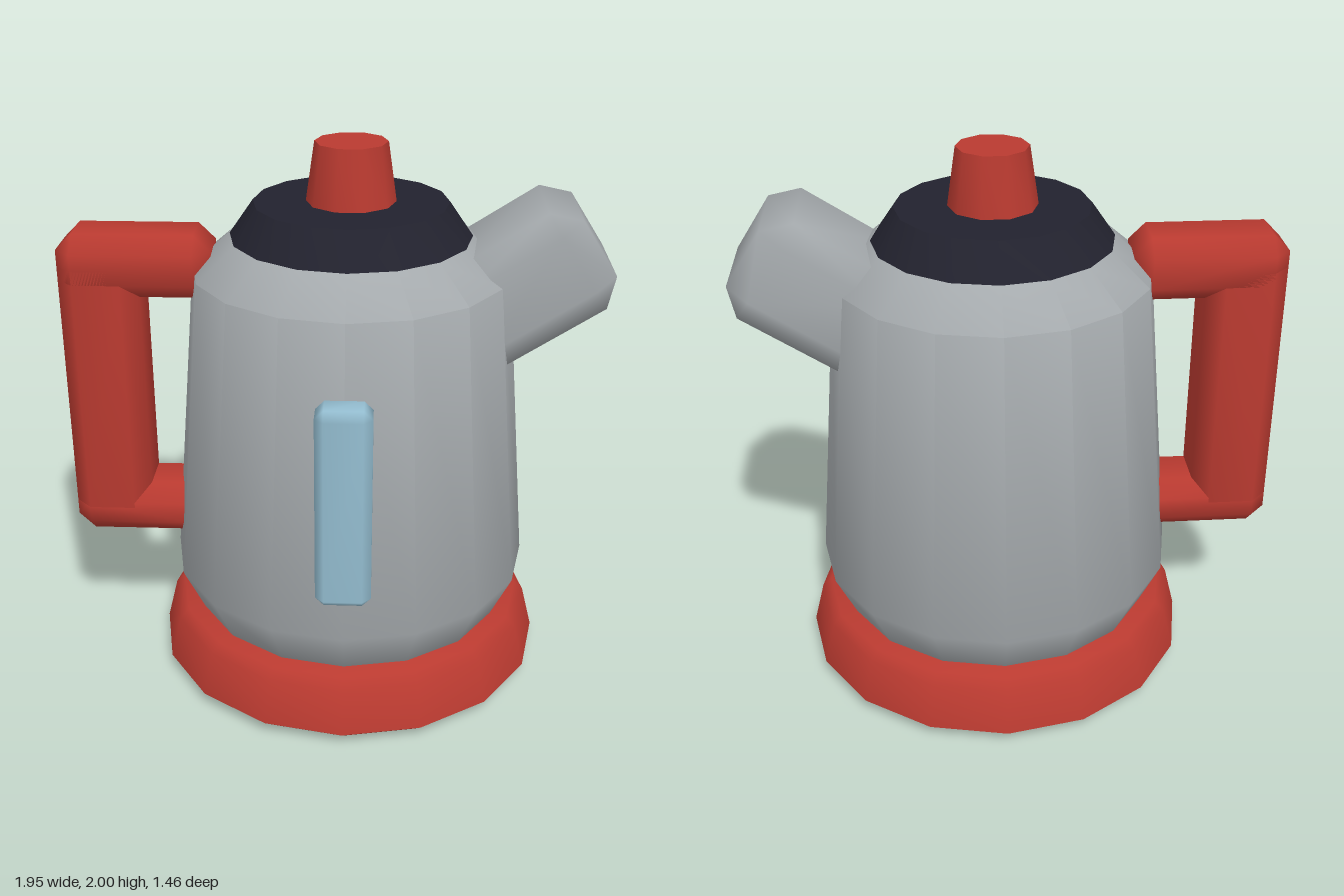
import * as THREE from 'three';
import { mergeVertices, toCreasedNormals } from 'three/addons/utils/BufferGeometryUtils.js';
import { ConvexGeometry } from 'three/addons/geometries/ConvexGeometry.js';

const CREASE = 0.8;
const AXIS_X = 0.06; // the round parts sit slightly off centre

const material = (name, color) => {
  const m = new THREE.MeshStandardMaterial({ color });
  m.name = name;
  return m;
};

// Round part turned from a [radius, height] profile
function turned(name, profile, sides, mat, phase = 0) {
  const points = profile.map(([r, y]) => new THREE.Vector2(r, y));
  const geometry = new THREE.LatheGeometry(points, sides, phase);
  const mesh = new THREE.Mesh(toCreasedNormals(geometry, CREASE), mat);
  mesh.name = name;
  mesh.position.x = AXIS_X;
  return mesh;
}

// Box with one flat chamfer on every edge and smooth normals
function chamferBox(name, size, chamfer, centre, mat) {
  const half = size.map((s) => s / 2);
  const points = [];
  for (const sx of [-1, 1]) for (const sy of [-1, 1]) for (const sz of [-1, 1]) {
    for (let full = 0; full < 3; full++) {
      const p = half.map((h, i) => (i === full ? h : h - chamfer[i]));
      points.push(new THREE.Vector3(sx * p[0], sy * p[1], sz * p[2]));
    }
  }
  let geometry = new ConvexGeometry(points);
  geometry.deleteAttribute('normal');
  geometry = mergeVertices(geometry, 1e-4);
  geometry.computeVertexNormals();
  const mesh = new THREE.Mesh(geometry, mat);
  mesh.name = name;
  mesh.position.set(...centre);
  return mesh;
}

export function createModel() {
  const red = material('red plastic', 0xb93a30);
  const grey = material('grey metal', 0xa5aaad);
  const dark = material('dark lid', 0x22222e);
  const blue = material('blue gauge', 0x93bccf);

  const kettle = new THREE.Group();
  kettle.name = 'kettle';

  // Base, body, lid and knob share one upright axis
  kettle.add(
    turned('base', [[0, 0], [0.67, 0], [0.73, 0.05], [0.69, 0.21], [0.655, 0.245], [0, 0.245]], 16, red),
    turned('body', [[0.58, 0.235], [0.59, 0.245], [0.667, 0.41], [0.568, 1.55], [0.43, 1.67]], 16, grey),
    turned('lid', [[0, 1.665], [0.432, 1.665], [0.345, 1.79], [0, 1.79]], 16, dark),
    turned('knob', [[0, 1.78], [0.16, 1.78], [0.128, 2], [0, 2]], 10, red, Math.PI / 2),
  );

  // Spout, a stubby box tilted upward on the model's left
  const tilt = 0.577;
  const [u, v] = [1.39, 0.915]; // centre along and across the tilted axis
  const spout = chamferBox('spout', [0.58, 0.4, 0.44], [0.085, 0.085, 0.04], [
    u * Math.cos(tilt) - v * Math.sin(tilt),
    u * Math.sin(tilt) + v * Math.cos(tilt),
    0,
  ], grey);
  spout.rotation.z = tilt;
  kettle.add(spout);

  // Handle: two bars joined by an upright grip
  const handle = new THREE.Group();
  handle.name = 'handle';
  const bevel = [0.06, 0.06, 0.06];
  handle.add(
    chamferBox('handleTop', [0.55, 0.23, 0.28], bevel, [-0.705, 1.565, 0], red),
    chamferBox('handleGrip', [0.29, 1.06, 0.28], bevel, [-0.835, 1.09, 0], red),
    chamferBox('handleBottom', [0.5, 0.2, 0.28], bevel, [-0.73, 0.6, 0], red),
  );
  kettle.add(handle);

  // Water gauge on the front
  kettle.add(chamferBox('waterGauge', [0.19, 0.73, 0.14], [0.03, 0.03, 0.03], [AXIS_X, 0.935, 0.647], blue));

  return kettle;
}
